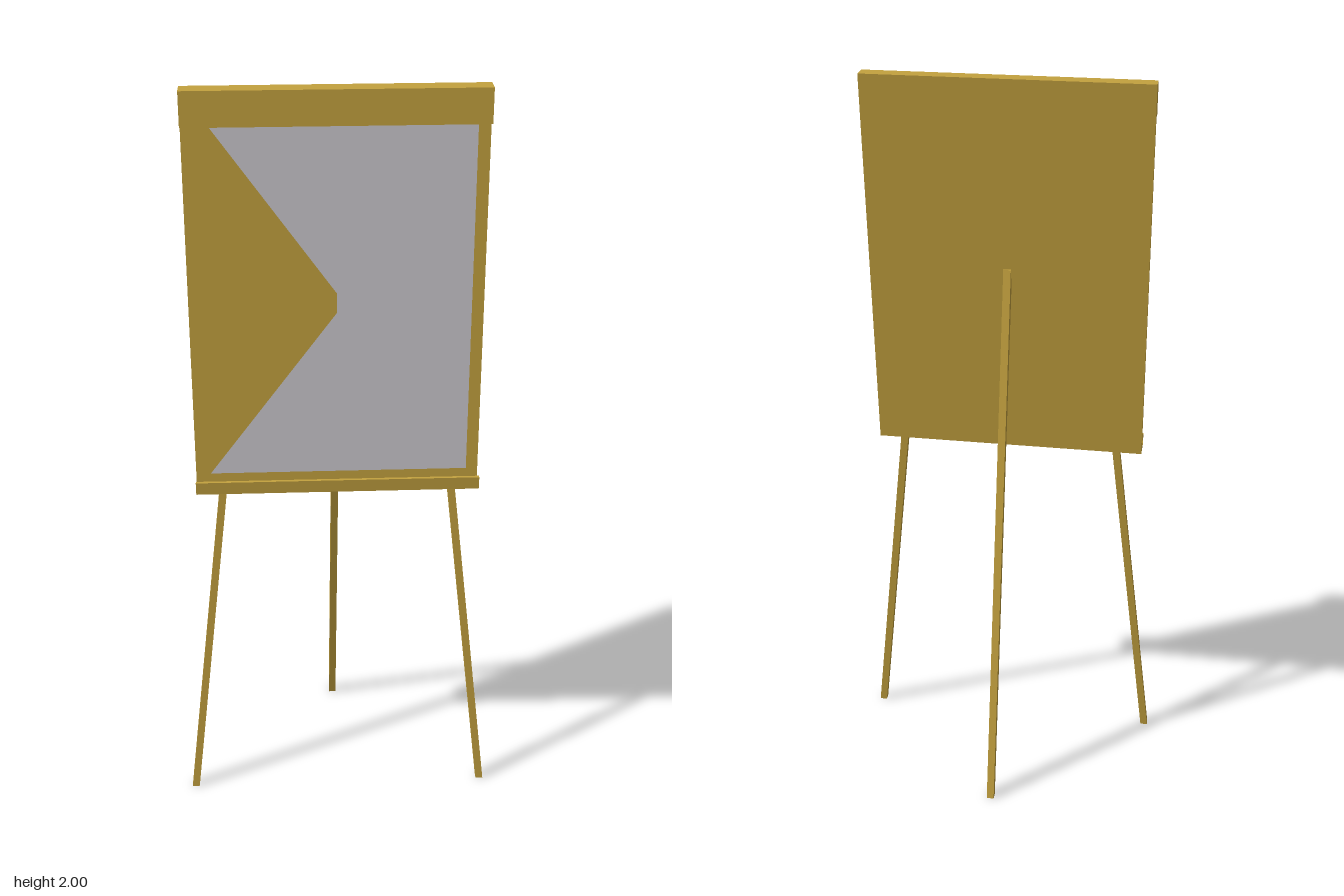
import * as THREE from 'three';

const gold = new THREE.MeshStandardMaterial({ color: 0xc4a23f });
gold.name = 'golden wood';
const grey = new THREE.MeshStandardMaterial({ color: 0xcccad0 });
grey.name = 'paper grey';

// The back plane of the leaning board: z at a given height
const LEAN = -0.077;
const boardBack = (y) => 0.048 + LEAN * (y - 2);

function lean(geometry) {
  const p = geometry.attributes.position;
  for (let i = 0; i < p.count; i++) p.setZ(i, p.getZ(i) + boardBack(p.getY(i)));
  geometry.computeVertexNormals();
  return geometry;
}

// Box from y0 to y1, between two depths in front of the board's back plane
function leaningSlab(width, y0, y1, d0, d1) {
  const g = new THREE.BoxGeometry(width, y1 - y0, d1 - d0);
  g.translate(0, (y0 + y1) / 2, (d0 + d1) / 2);
  return lean(g);
}

// Square bar with level ends, running from foot to top
function legBar(foot, top, w, d) {
  const g = new THREE.BoxGeometry(w, 1, d).translate(0, 0.5, 0);
  const p = g.attributes.position;
  for (let i = 0; i < p.count; i++) {
    const t = p.getY(i);
    p.setXYZ(i,
      p.getX(i) + THREE.MathUtils.lerp(foot[0], top[0], t),
      THREE.MathUtils.lerp(foot[1], top[1], t),
      p.getZ(i) + THREE.MathUtils.lerp(foot[2], top[2], t));
  }
  g.computeVertexNormals();
  return g;
}

export function createModel() {
  const model = new THREE.Group();
  model.name = 'easel';
  const add = (name, geometry, material) => {
    const mesh = new THREE.Mesh(geometry, material);
    mesh.name = name;
    model.add(mesh);
  };

  // Board, top clamp and paper pad
  const W = 0.734;
  add('board', leaningSlab(W, 0.97, 2, 0, 0.018), gold);
  add('topClamp', leaningSlab(W, 1.915, 2, 0, 0.044), gold);
  const pad = leaningSlab(0.664, 1.015, 1.914, 0.018, 0.032);
  pad.translate(0.003, 0, 0);
  add('paperPad', pad, grey);

  // Wood-coloured wedge on the left of the paper
  const wedge = new THREE.Shape([
    [-0.329, 1.015], [0, 1.45], [0, 1.5], [-0.3, 1.914], [-0.329, 1.914],
  ].map(([x, y]) => new THREE.Vector2(x, y)));
  add('paperWedge', lean(new THREE.ShapeGeometry(wedge).translate(0, 0, 0.0335)), gold);

  // Tray with a raised front lip
  add('tray', new THREE.BoxGeometry(W, 0.012, 0.058).translate(0, 0.977, 0.159), gold);
  add('trayLip', new THREE.BoxGeometry(W, 0.034, 0.008).translate(0, 0.988, 0.184), gold);

  // Two splayed front legs and the rear strut
  for (const side of [-1, 1]) {
    add(side > 0 ? 'leftFrontLeg' : 'rightFrontLeg',
      legBar([side * 0.411, 0, 0.207], [side * 0.297, 0.975, 0.136], 0.02, 0.018), gold);
  }
  add('backLeg', legBar([0, 0, -0.206], [0, 1.5, 0.092], 0.02, 0.022), gold);

  return model;
}
